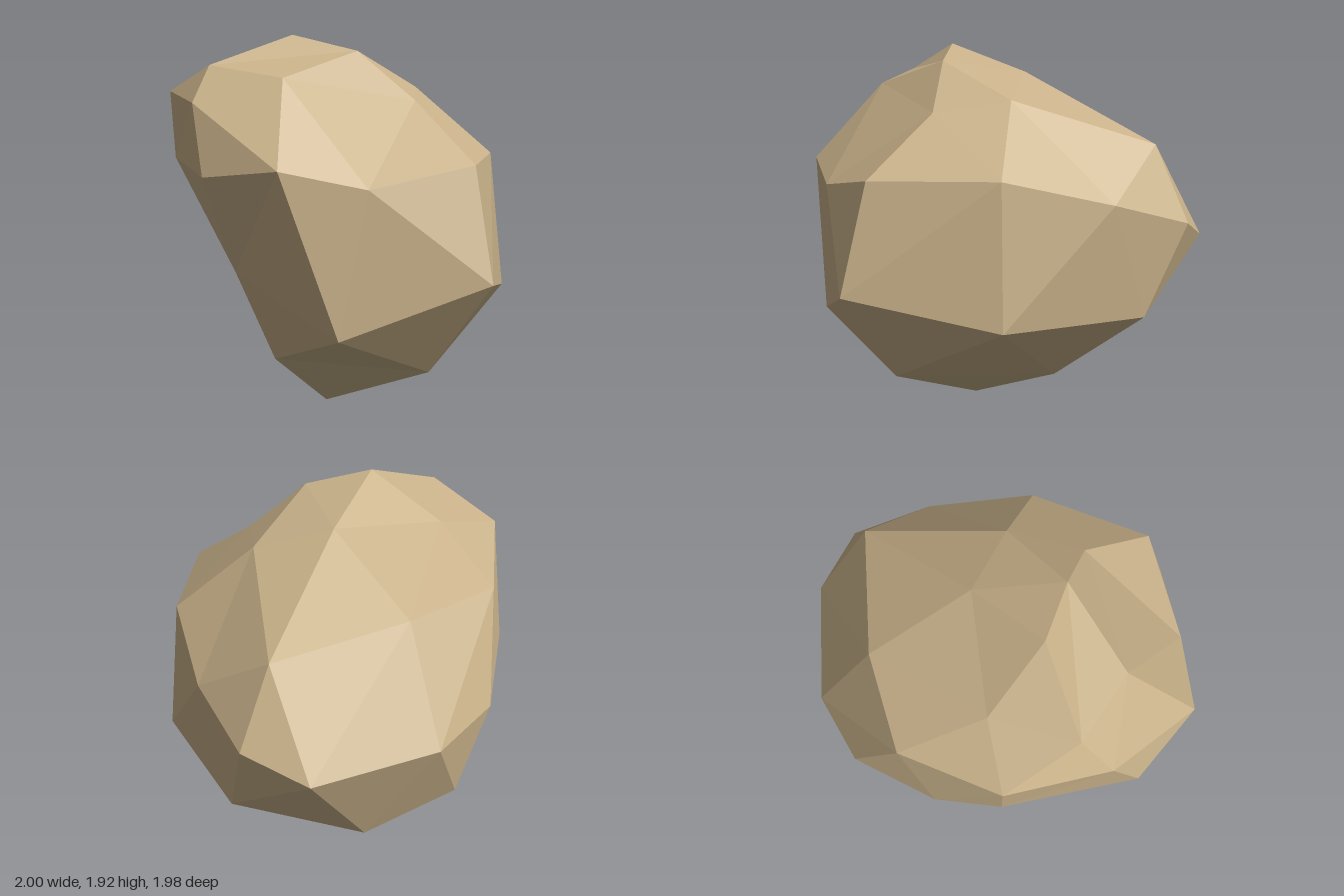
import * as THREE from 'three';

// Rock corners, keyed by their step on a three-step octahedron (x,y,z steps).
const corners = {
  // crown
  '0,3,0': [-0.07, 1.92, 0.35],
  '0,2,1': [-0.185, 1.77, 0.775],
  '1,2,0': [0.2, 1.84, 0.16],
  '0,2,-1': [-0.16, 1.78, -0.085],
  '-1,2,0': [-0.44, 1.71, 0.43],
  // shoulder
  '0,1,2': [-0.11, 1.595, 0.93],
  '1,1,1': [0.19, 1.71, 0.63],
  '2,1,0': [0.44, 1.6, 0.0],
  '1,1,-1': [0.18, 1.66, -0.28],
  '0,1,-2': [-0.33, 1.44, -0.785],
  '-1,1,-1': [-0.68, 1.51, -0.2],
  '-2,1,0': [-0.84, 1.53, 0.28],
  '-1,1,1': [-0.58, 1.64, 0.74],
  // girdle
  '0,0,3': [0.035, 1.26, 0.985],
  '1,0,2': [0.455, 1.31, 0.885],
  '2,0,1': [0.67, 1.22, 0.54],
  '3,0,0': [0.855, 1.31, 0.03],
  '2,0,-1': [0.51, 1.32, -0.505],
  '1,0,-2': [0.07, 1.19, -0.83],
  '0,0,-3': [-0.32, 1.07, -0.99],
  '-1,0,-2': [-0.63, 0.955, -0.88],
  '-2,0,-1': [-0.965, 0.985, -0.34],
  '-3,0,0': [-1, 1.04, 0.05],
  '-2,0,1': [-0.8, 1.17, 0.48],
  '-1,0,2': [-0.575, 1.3, 0.72],
  // underside
  '0,-1,2': [-0.04, 0.78, 0.75],
  '1,-1,1': [0.6, 0.535, 0.66],
  '2,-1,0': [1, 0.77, 0.065],
  '1,-1,-1': [0.56, 0.62, -0.56],
  '0,-1,-2': [-0.14, 0.61, -0.87],
  '-1,-1,-1': [-0.635, 0.395, -0.45],
  '-2,-1,0': [-0.92, 0.57, -0.08],
  '-1,-1,1': [-0.57, 0.64, 0.34],
  // foot
  '0,-2,1': [0.055, 0.33, 0.585],
  '1,-2,0': [0.63, 0.285, 0.09],
  '0,-2,-1': [-0.045, 0.23, -0.39],
  '-1,-2,0': [-0.56, 0.26, 0.03],
  '0,-3,0': [-0.04, 0, 0.16],
};

export function createModel() {
  const sandstone = new THREE.MeshStandardMaterial({ color: 0xc8b189, flatShading: true });
  sandstone.name = 'sandstone';

  // Subdivided octahedron with each corner pushed to its place on the rock
  const geometry = new THREE.OctahedronGeometry(1, 2);
  geometry.deleteAttribute('uv');
  const position = geometry.attributes.position;
  const p = new THREE.Vector3();
  for (let n = 0; n < position.count; n++) {
    p.fromBufferAttribute(position, n);
    p.multiplyScalar(3 / p.manhattanLength()).round();
    position.setXYZ(n, ...corners[`${p.x},${p.y},${p.z}`]);
  }
  geometry.computeVertexNormals();

  const rock = new THREE.Mesh(geometry, sandstone);
  rock.name = 'rock';
  const group = new THREE.Group();
  group.name = 'boulder';
  group.add(rock);
  return group;
}
